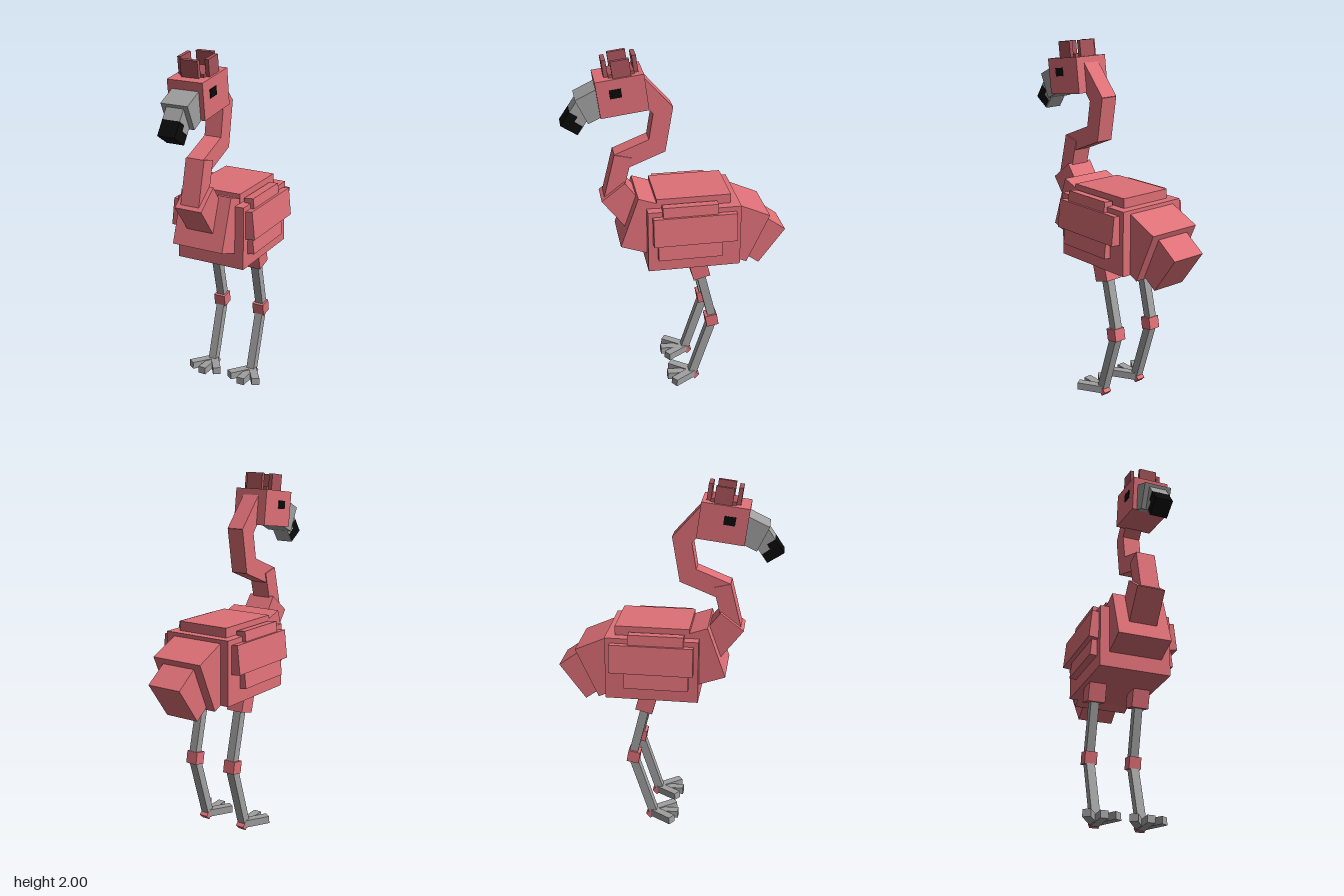
import * as THREE from 'three';

const material = (name, color) => {
  const m = new THREE.MeshStandardMaterial({ color });
  m.name = name;
  return m;
};

export function createModel() {
  const pink = material('pink feathers', 0xde7077);
  const rose = material('dark rose', 0xa8545a);
  const grey = material('grey skin', 0xa0a0a0);
  const black = material('black', 0x0a0a0a);

  const model = new THREE.Group();
  model.name = 'wadingBird';

  const group = (name, parent = model) => {
    const g = new THREE.Group();
    g.name = name;
    parent.add(g);
    return g;
  };

  // Axis-aligned box: size and centre
  const box = (parent, name, mat, [w, h, d], [x, y, z]) => {
    const m = new THREE.Mesh(new THREE.BoxGeometry(w, h, d), mat);
    m.name = name;
    m.position.set(x, y, z);
    parent.add(m);
    return m;
  };

  // Box running between two [z, y] points of the side profile
  const beam = (parent, name, mat, [z1, y1], [z2, y2], thick, width, x = 0) => {
    const len = Math.hypot(z2 - z1, y2 - y1);
    const m = box(parent, name, mat, [width, len, thick], [x, (y1 + y2) / 2, (z1 + z2) / 2]);
    m.rotation.x = Math.atan2(z2 - z1, y2 - y1);
    return m;
  };

  // Body, back, chest and tail
  const body = group('body');
  box(body, 'torso', pink, [0.41, 0.36, 0.515], [0, 0.992, -0.073]);
  box(body, 'back', pink, [0.31, 0.1, 0.41], [0, 1.175, -0.075]);
  beam(body, 'chest', pink, [0.278, 1.093], [0.053, 1.013], 0.302, 0.305);
  beam(body, 'tailBase', pink, [-0.444, 0.931], [-0.225, 1.03], 0.308, 0.31);
  beam(body, 'tailTip', pink, [-0.54, 0.849], [-0.348, 0.99], 0.25, 0.205);

  // Neck, an S of overlapping blocks
  const neck = group('neck');
  beam(neck, 'neckBase', pink, [0.354, 1.249], [0.233, 1.09], 0.162, 0.16);
  beam(neck, 'lowerNeck', pink, [0.293, 1.446], [0.354, 1.204], 0.096, 0.11);
  beam(neck, 'middleNeck', pink, [0.32, 1.41], [0.082, 1.505], 0.102, 0.1);
  beam(neck, 'upperNeck', pink, [0.07, 1.714], [0.112, 1.466], 0.1, 0.1);
  beam(neck, 'nape', pink, [0.058, 1.675], [0.212, 1.849], 0.1, 0.1);

  // Head, tipped slightly forward
  const head = group('head');
  head.position.set(0, 1.802, 0.293);
  head.rotation.x = 0.125;
  box(head, 'skull', pink, [0.205, 0.198, 0.256], [0, 0, 0]);

  // Crest: a low base ringed by four upright plates
  const crest = group('crest', head);
  crest.position.set(0, 0.095, -0.015);
  box(crest, 'crestBase', rose, [0.14, 0.026, 0.137], [0, 0.008, 0]);
  for (const s of [-1, 1]) {
    box(crest, 'crestSidePlate', rose, [0.022, 0.094, 0.097], [s * 0.079, 0.047, 0]);
    box(crest, 'crestEndPlate', rose, [0.1, 0.094, 0.023], [0, 0.047, s * 0.079]);
    box(head, 'eye', black, [0.006, 0.046, 0.062], [s * 0.104, 0.022, 0.032]);
  }

  // Beak, bent down, with a stepped black tip and pale underside
  const beak = group('beak');
  beam(beak, 'beakBase', grey, [0.503, 1.72], [0.36, 1.788], 0.147, 0.155);
  beam(beak, 'upperBill', grey, [0.543, 1.701], [0.495, 1.77], 0.0515, 0.1);
  beam(beak, 'upperBillTip', black, [0.593, 1.628], [0.543, 1.701], 0.0515, 0.1);
  beam(beak, 'lowerBill', grey, [0.519, 1.646], [0.455, 1.738], 0.0515, 0.1);
  beam(beak, 'lowerBillTip', black, [0.55, 1.6], [0.519, 1.646], 0.0515, 0.1);
  beam(beak, 'billUnderside', grey, [0.529, 1.587], [0.471, 1.671], 0.006, 0.1);

  for (const s of [-1, 1]) {
    const side = s > 0 ? 'left' : 'right';

    // Wing: three overlapping plates flaring outward below
    const wing = group(side + 'Wing');
    const plates = [
      ['upperWing', 0.1, 0.305, 0.199, 1.15, -0.048],
      ['middleWing', 0.16, 0.46, 0.224, 1.065, -0.071],
      ['lowerWing', 0.12, 0.355, 0.21, 0.95, -0.045],
    ];
    for (const [name, h, d, x, y, z] of plates) {
      box(wing, name, pink, [0.056, h, d], [s * x, y, z]).rotation.z = s * 0.105;
    }

    // Leg
    const leg = group(side + 'Leg');
    const x = s * 0.13;
    beam(leg, 'thigh', pink, [-0.088, 0.85], [-0.122, 0.722], 0.098, 0.1, x);
    beam(leg, 'upperLeg', grey, [-0.111, 0.76], [-0.19, 0.437], 0.048, 0.048, x);
    beam(leg, 'knee', pink, [-0.181, 0.45], [-0.193, 0.381], 0.07, 0.07, x);
    beam(leg, 'lowerLeg', grey, [-0.19, 0.4], [-0.077, 0.045], 0.048, 0.048, x);
    box(leg, 'heel', pink, [0.05, 0.037, 0.037], [x, 0.028, -0.092]).rotation.x = Math.PI / 4;

    // Three splayed toes
    for (const t of [-1, 0, 1]) {
      const toe = group('toe', leg);
      toe.position.set(x, t ? 0.04 : 0.034, -0.085);
      toe.rotation.y = t * 0.6;
      const length = 0.155;
      box(toe, 'toeBlock', grey, [0.046, 0.042, length], [0, 0, length / 2]).rotation.x = -0.04;
    }
  }

  return model;
}
